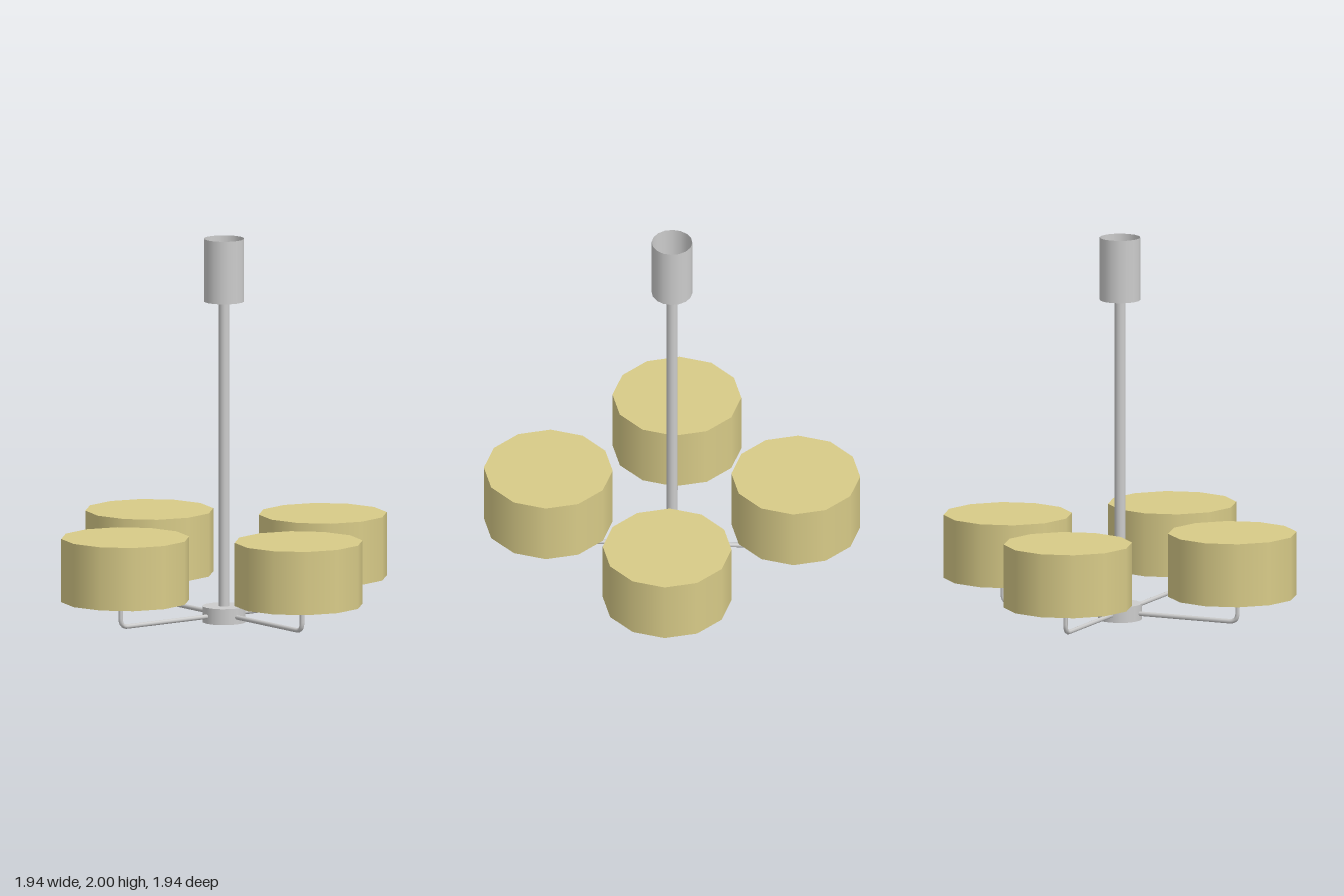
import * as THREE from 'three';

export function createModel() {
  const model = new THREE.Group();
  model.name = 'chandelier';

  const metal = new THREE.MeshStandardMaterial({ color: 0xcccccc });
  metal.name = 'satin metal';
  const metalOpen = new THREE.MeshStandardMaterial({ color: 0xcccccc, side: THREE.DoubleSide });
  metalOpen.name = 'satin metal open';
  const fabric = new THREE.MeshStandardMaterial({ color: 0xd8cb88 });
  fabric.name = 'straw fabric';

  const add = (parent, name, geometry, material, x = 0, y = 0, z = 0) => {
    const mesh = new THREE.Mesh(geometry, material);
    mesh.name = name;
    mesh.position.set(x, y, z);
    parent.add(mesh);
    return mesh;
  };

  // Upright cylinder spanning y0 to y1
  const post = (parent, name, r, y0, y1, sides, material, x = 0, open = false) =>
    add(parent, name, new THREE.CylinderGeometry(r, r, y1 - y0, sides, 1, open), material, x, (y0 + y1) / 2);

  // Central hub and stem
  post(model, 'hub', 0.113, 0, 0.083, 16, metal);
  post(model, 'stem', 0.029, 0.08, 1.68, 12, metal);

  // Ceiling canopy: a cup open at the top
  post(model, 'canopyWall', 0.105, 1.673, 2, 16, metalOpen, 0, true);
  const floor = add(model, 'canopyFloor', new THREE.CircleGeometry(0.105, 16), metalOpen, 0, 1.673);
  floor.rotation.set(-Math.PI / 2, 0, Math.PI / 2);

  // Arm path: straight out, rounded elbow, then up to the shade
  const v = (x, y) => new THREE.Vector3(x, y, 0);
  const path = new THREE.CurvePath();
  path.add(new THREE.LineCurve3(v(0.08, 0.037), v(0.622, 0.037)));
  path.add(new THREE.QuadraticBezierCurve3(v(0.622, 0.037), v(0.667, 0.037), v(0.667, 0.082)));
  path.add(new THREE.LineCurve3(v(0.667, 0.082), v(0.667, 0.16)));
  const armGeometry = new THREE.TubeGeometry(path, 64, 0.012, 8, false);

  // Four arms, each with a holder and a drum shade
  for (let i = 0; i < 4; i++) {
    const branch = new THREE.Group();
    branch.name = 'branch' + (i + 1);
    branch.rotation.y = i * Math.PI / 2;
    add(branch, 'arm', armGeometry, metal);
    post(branch, 'holder', 0.045, 0.15, 0.172, 12, metal, 0.667);
    post(branch, 'shade', 0.332, 0.172, 0.502, 12, fabric, 0.638);
    model.add(branch);
  }
  return model;
}
